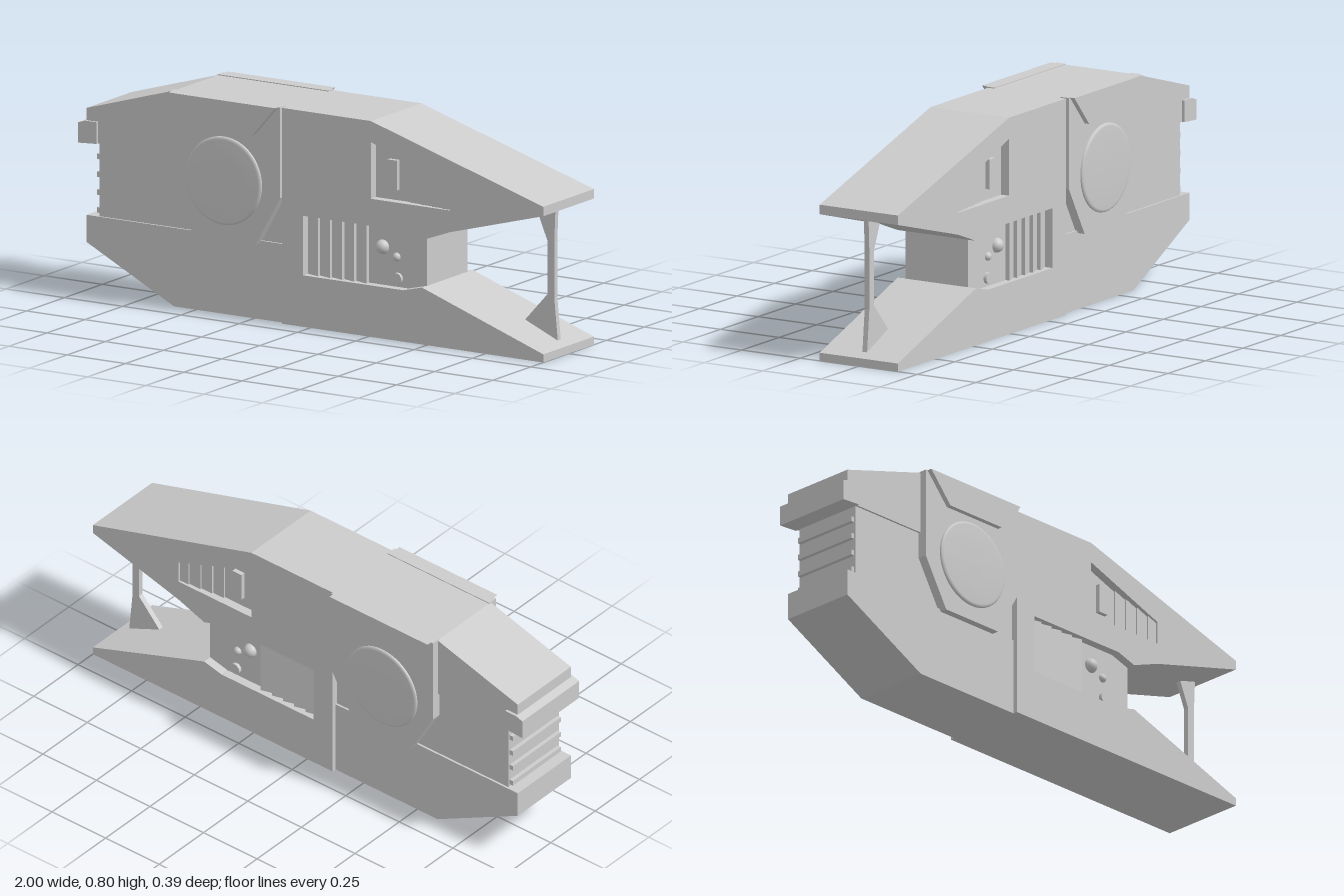
import * as THREE from 'three';

const mat = new THREE.MeshStandardMaterial({ color: 0xcccccc });

function shapeOf(pts) {
  return new THREE.Shape(pts.map(([x, y]) => new THREE.Vector2(x, y)));
}

export function createModel() {
  const model = new THREE.Group();

  const add = (name, geometry) => {
    const mesh = new THREE.Mesh(geometry, mat);
    mesh.name = name;
    model.add(mesh);
    return mesh;
  };

  // Side outline extruded from z0 to z1
  const slab = (name, pts, z0, z1, holes = []) => {
    const shape = shapeOf(pts);
    holes.forEach((h) => shape.holes.push(shapeOf(h)));
    const g = new THREE.ExtrudeGeometry(shape, { depth: z1 - z0, bevelEnabled: false });
    return add(name, g.translate(0, 0, z0));
  };
  const sideSlab = (name, side, pts, z0, z1, holes) =>
    side > 0 ? slab(name, pts, z0, z1, holes) : slab(name, pts, -z1, -z0, holes);

  const box = (name, x0, x1, y0, y1, halfZ) =>
    add(name, new THREE.BoxGeometry(x1 - x0, y1 - y0, halfZ * 2)
      .translate((x0 + x1) / 2, (y0 + y1) / 2, 0));

  // Forward hull: core with open jaws
  const upperJaw = [[0.6, 0.43], [1, 0.54], [1, 0.575], [0.26, 0.797], [-0.12, 0.797]];
  const lowerJaw = [[-0.12, 0], [1, 0], [1, 0.03], [0.48, 0.21]];
  slab('forwardCore', [...lowerJaw, [0.48, 0.385], ...upperJaw], -0.133, 0.133);

  // Rear hull: upper shell, lower shell and recessed middle
  slab('rearUpperHull', [[-0.12, 0.56], [-0.12, 0.797], [-0.595, 0.797], [-0.97, 0.685], [-0.97, 0.56]], -0.15, 0.15);
  slab('rearLowerHull', [[-0.12, 0], [-0.12, 0.29], [-0.97, 0.29], [-0.97, 0.19], [-0.595, 0]], -0.15, 0.15);
  box('rearMiddleHull', -0.92, -0.12, 0.29, 0.56, 0.142);
  slab('rearBumper', [[-1, 0.555], [-0.92, 0.56], [-0.92, 0.64], [-0.97, 0.64], [-1, 0.63]], -0.16, 0.16);
  for (let i = 0; i < 4; i++) {
    const y = 0.3 + i * 0.066;
    box('rearSlat', -0.935, -0.915, y, y + 0.02, 0.135);
  }

  // Thin strut joining the jaw tips
  slab('jawStrut', [
    [0.82, 0.105], [0.96, 0.045], [0.945, 0.2], [0.945, 0.41], [0.95, 0.527],
    [0.875, 0.505], [0.915, 0.41], [0.915, 0.21],
  ], -0.01, 0.01);

  const windowTop = (x) => 0.72 - (x - 0.26) * 0.368;
  const windowHole = [[0.26, 0.51], [0.6, 0.51], [0.6, windowTop(0.6)], [0.26, 0.72]];

  for (const side of [1, -1]) {
    // Outer skin cut away for the machinery bay and the window
    sideSlab('sideSkin', side, [
      ...lowerJaw, [0.4, 0.19], [-0.03, 0.19], [-0.03, 0.41], [0.4, 0.41], [0.48, 0.385], ...upperJaw,
    ], 0.133, 0.167, [windowHole]);

    // Window plate and stepped slats
    sideSlab('windowPlate', side, [[0.32, 0.55], [0.362, 0.55], [0.362, 0.66], [0.32, 0.66]], 0.133, 0.15);
    [0.41, 0.46, 0.51, 0.56].forEach((x, i) => {
      const end = i < 3 ? x + 0.05 : 0.6;
      sideSlab('windowSlat', side,
        [[x, 0.51], [end, 0.51], [end, windowTop(end)], [x, windowTop(x)]], 0.133, 0.14 + i * 0.006);
    });

    // Saw-tooth louvres in the machinery bay
    const teeth = [[-0.03, -side * 0.13]];
    for (let i = 0; i < 5; i++) {
      const x = -0.03 + i * 0.052;
      teeth.push([x, -side * 0.135], [x + 0.052, -side * 0.15]);
    }
    teeth.push([0.23, -side * 0.13]);
    add('bayLouvres', new THREE.ExtrudeGeometry(shapeOf(teeth), { depth: 0.22, bevelEnabled: false })
      .rotateX(-Math.PI / 2).translate(0, 0.19, 0));

    // Bay knobs and port
    [[0.29, 0.33, 0.027], [0.35, 0.3, 0.016]].forEach(([x, y, r]) => {
      add('bayKnob', new THREE.SphereGeometry(r, 20, 14)).position.set(x, y, side * 0.133);
    });
    const port = add('bayPort', new THREE.CylinderGeometry(0.021, 0.021, 0.02, 24));
    port.rotation.x = Math.PI / 2;
    port.position.set(0.355, 0.222, side * 0.136);

    // Six-sided side panel with top flap
    sideSlab('sidePanel', side, [
      [-0.597, 0.8], [-0.597, 0.46], [-0.493, 0.28], [-0.227, 0.28], [-0.122, 0.465], [-0.122, 0.8],
    ], 0.14, 0.178);
    sideSlab('panelFlap', side, [
      [-0.588, 0.8], [-0.49, 0.687], [-0.228, 0.687], [-0.13, 0.8],
    ], 0.15, 0.197);

    // Round domed hatch
    const profile = [[0.163, 0], [0.163, 0.006], [0.16, 0.01], [0.152, 0.013], [0.08, 0.015], [0, 0.016]];
    const hatch = add('roundHatch', new THREE.LatheGeometry(
      profile.map(([r, h]) => new THREE.Vector2(r, h)), 48));
    hatch.rotation.x = side * Math.PI / 2;
    hatch.position.set(-0.362, 0.5, side * 0.175);
  }

  return model;
}
